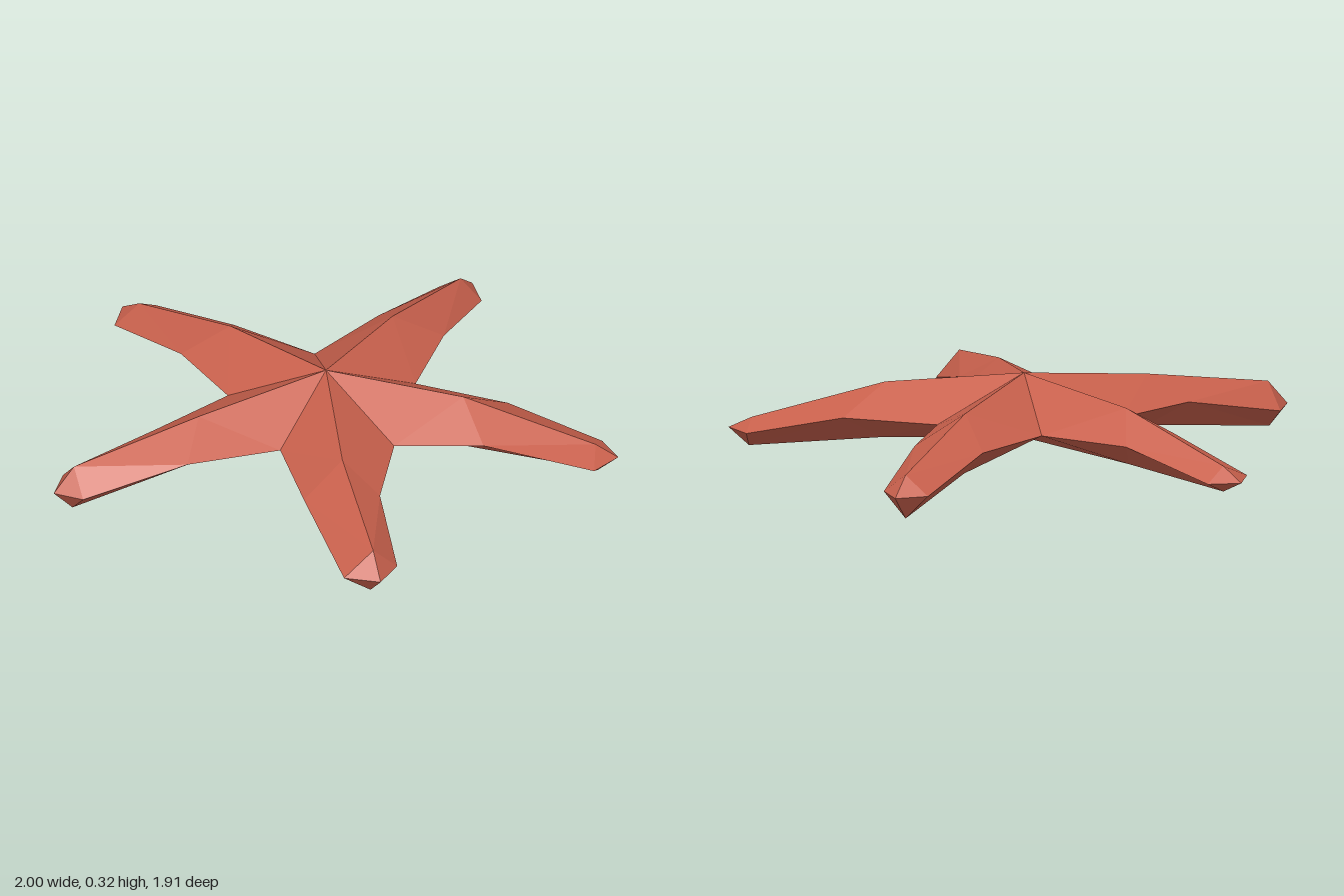
import * as THREE from 'three';

const TOP = [0, 0.32, 0.1], BOTTOM = [0, 0.085, 0.1];
const MID_Y = 0.17, END_Y = 0.09; // height of the side edges

// Notches between arms [x, z], anticlockwise seen from above, starting at the front
const notches = [[0, 0.43], [0.337, 0.21], [0.205, -0.18], [-0.2, -0.175], [-0.335, 0.21]];

// Each arm: half-way and end rings as [ridge, right edge, keel, left edge] looking outward, then the tip
// Edges are [x, z]; ridge and keel are [x, y, z]
const arms = [
  { name: 'frontLeftArm',
    mid: [[0.29, 0.26, 0.5], [0.23, 0.67], [0.29, 0.075, 0.5], [0.45, 0.515]],
    end: [[0.61, 0.18, 0.85], [0.54, 0.935], [0.605, 0.02, 0.86], [0.665, 0.775]],
    tip: [0.665, 0.895] },
  { name: 'leftArm',
    mid: [[0.47, 0.272, -0.05], [0.61, 0.055], [0.48, 0.07, -0.05], [0.55, -0.23]],
    end: [[0.92, 0.13, -0.2], [0.97, -0.1], [0.93, 0.027, -0.2], [0.9, -0.285]],
    tip: [1, -0.22] },
  { name: 'backArm',
    mid: [[0, 0.275, -0.38], [0.14, -0.5], [0, 0.06, -0.39], [-0.125, -0.5]],
    end: [[0, 0.157, -0.87], [0.085, -0.87], [0, 0, -0.87], [-0.09, -0.875]],
    tip: [0, -0.955] },
  { name: 'rightArm',
    mid: [[-0.47, 0.272, -0.05], [-0.54, -0.2], [-0.48, 0.07, -0.05], [-0.61, 0.055]],
    end: [[-0.92, 0.14, -0.2], [-0.9, -0.285], [-0.92, 0.048, -0.2], [-0.965, -0.1]],
    tip: [-1, -0.22] },
  { name: 'frontRightArm',
    mid: [[-0.29, 0.26, 0.5], [-0.445, 0.515], [-0.29, 0.075, 0.5], [-0.24, 0.67]],
    end: [[-0.575, 0.18, 0.89], [-0.65, 0.835], [-0.575, 0.015, 0.9], [-0.51, 0.94]],
    tip: [-0.62, 0.955] },
];

// Give edge points their height
const lift = (p, y) => (p.length === 3 ? p : [p[0], y, p[1]]);

function armGeometry(arm, rightNotch, leftNotch) {
  const rings = [
    [TOP, lift(rightNotch, MID_Y), BOTTOM, lift(leftNotch, MID_Y)],
    arm.mid.map(p => lift(p, MID_Y)),
    arm.end.map(p => lift(p, END_Y)),
  ];
  const tip = lift(arm.tip, END_Y);
  const pos = [];
  const tri = (a, b, c) => pos.push(...a, ...b, ...c);
  for (let j = 0; j < 4; j++) {
    const k = (j + 1) % 4;
    for (let i = 0; i < 2; i++) {
      const near = rings[i], far = rings[i + 1];
      // Split each quad from the ridge or keel, so both sides match
      if (j % 2 === 0) {
        tri(near[j], near[k], far[j]);
        tri(near[k], far[k], far[j]);
      } else {
        tri(near[j], near[k], far[k]);
        tri(near[j], far[k], far[j]);
      }
    }
    tri(rings[2][j], rings[2][k], tip);
  }
  const geometry = new THREE.BufferGeometry();
  geometry.setAttribute('position', new THREE.Float32BufferAttribute(pos, 3));
  geometry.computeVertexNormals();
  return geometry;
}

export function createModel() {
  const group = new THREE.Group();
  group.name = 'starfish';
  const coral = new THREE.MeshStandardMaterial({ color: 0xc8604c, flatShading: true });
  coral.name = 'coral red';
  arms.forEach((arm, i) => {
    const mesh = new THREE.Mesh(armGeometry(arm, notches[i], notches[(i + 1) % 5]), coral);
    mesh.name = arm.name;
    group.add(mesh);
  });
  return group;
}
